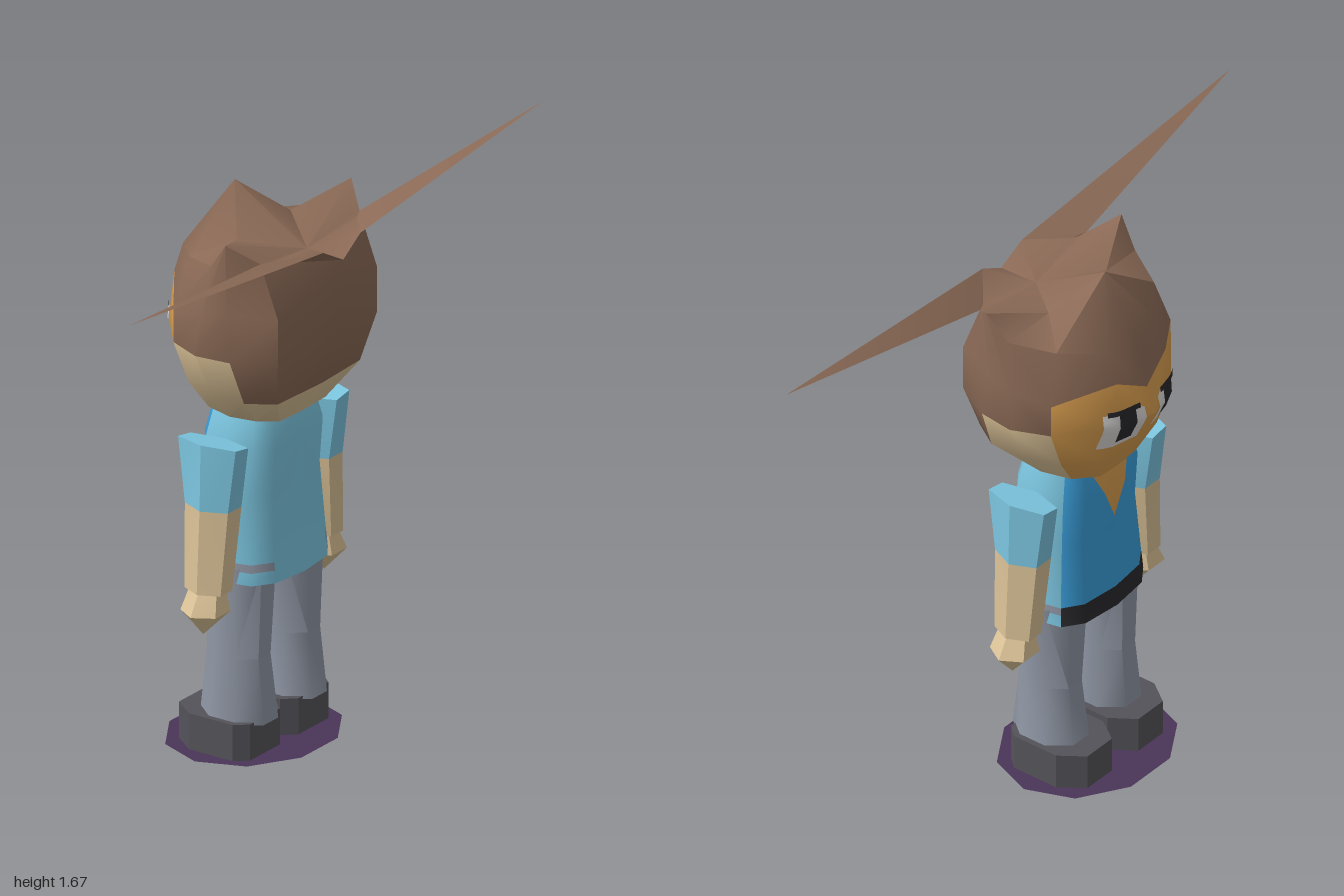
import * as THREE from 'three';
import { toCreasedNormals } from 'three/addons/utils/BufferGeometryUtils.js';

const material = (name, color, side = THREE.FrontSide) => {
  const m = new THREE.MeshStandardMaterial({ color, side });
  m.name = name;
  return m;
};

// Collects triangles by material, optionally mirrored across x = 0
class Surface {
  constructor(mirror = true) { this.mirror = mirror; this.faces = new Map(); }
  tri(mat, a, b, c) {
    if (!this.faces.has(mat)) this.faces.set(mat, []);
    const out = this.faces.get(mat);
    out.push(...a, ...b, ...c);
    if (this.mirror) for (const p of [c, b, a]) out.push(-p[0], p[1], p[2]);
  }
  // Rings run from the face side (-z) through +x to the back, stacked upward
  loft(rings, matAt, closed = false) {
    for (let i = 0; i + 1 < rings.length; i++) {
      const lo = rings[i], hi = rings[i + 1], n = lo.length;
      for (let j = 0; j < (closed ? n : n - 1); j++) {
        const k = (j + 1) % n, mat = matAt(i, j);
        this.tri(mat, lo[j], hi[j], hi[k]);
        this.tri(mat, lo[j], hi[k], lo[k]);
      }
    }
  }
  fan(mat, ring, centre, up, closed = false) {
    const n = ring.length;
    for (let j = 0; j < (closed ? n : n - 1); j++) {
      const a = ring[j], b = ring[(j + 1) % n];
      if (up) this.tri(mat, b, a, centre); else this.tri(mat, a, b, centre);
    }
  }
  mesh(name, crease) {
    const geo = new THREE.BufferGeometry(), pos = [], mats = [];
    for (const [mat, list] of this.faces) {
      geo.addGroup(pos.length / 3, list.length / 3, mats.length);
      mats.push(mat);
      for (const v of list) pos.push(v);
    }
    geo.setAttribute('position', new THREE.Float32BufferAttribute(pos, 3));
    const mesh = new THREE.Mesh(toCreasedNormals(geo, crease), mats.length > 1 ? mats : mats[0]);
    mesh.name = name;
    return mesh;
  }
}

// Closed elliptical ring with n sides, optionally sloping outward
const ring = (n, y, cx, rx, rz, slope = 0) => Array.from({ length: n }, (_, j) => {
  const a = (j + 0.5) * 2 * Math.PI / n;
  return [cx + rx * Math.sin(a), y + slope * Math.sin(a), -rz * Math.cos(a)];
});

export function createModel() {
  const hair = material('hair brown', 0x8b6a56, THREE.DoubleSide);
  const skin = material('pale skin', 0xdcc398);
  const face = material('face tan', 0xd89d4e);
  const shirt = material('light blue shirt', 0x7cc6e0);
  const vest = material('bright blue shirt front', 0x3a9fdb);
  const jeans = material('grey trousers', 0x9097a5);
  const shoe = material('shoe grey', 0x545359);
  const black = material('black', 0x29292c);
  const white = material('eye white', 0xdddbd8);
  const purple = material('ground purple', 0x4a3558, THREE.DoubleSide);
  const group = new THREE.Group();

  // Head: half rings from face centre to back centre
  const flat = (y, pts) => pts.map(([x, z]) => [x, y, z]);
  const rings = [
    flat(1.025, [[0, -0.15], [0.08, -0.145], [0.14, -0.09], [0.165, 0], [0.15, 0.08], [0.11, 0.135], [0, 0.14]]),
    flat(1.12, [[0, -0.205], [0.12, -0.19], [0.21, -0.11], [0.25, 0], [0.25, 0.11], [0.2, 0.19], [0, 0.2]]),
    flat(1.26, [[0, -0.28], [0.13, -0.235], [0.27, -0.12], [0.318, -0.01], [0.305, 0.1], [0.24, 0.22], [0, 0.265]]),
    [[0, 1.34, -0.25], [0.11, 1.4, -0.23], [0.27, 1.36, -0.12], [0.305, 1.38, 0], [0.3, 1.4, 0.085], [0.24, 1.4, 0.22], [0, 1.4, 0.27]],
    [[0, 1.47, -0.225], [0.11, 1.49, -0.2], [0.22, 1.51, -0.1], [0.285, 1.53, 0.02], [0.305, 1.615, 0.085], [0.24, 1.555, 0.16], [0, 1.515, 0.275]],
  ];
  const head = new Surface();
  head.loft(rings, (i, j) => {
    if (i === 3) return hair;
    if (j < 2) return face;
    return i === 0 || (i === 1 && j < 4) ? skin : hair;
  });
  head.fan(skin, rings[0], [0, 1.025, 0], false);

  // Hair crown: centre tuft, side tufts and long sideways spikes
  const [c0, c1, c2, c3, c4, c5, c6] = rings[4];
  const tuft = [0, 1.67, -0.1], dip = [0, 1.52, 0.15], mid = [0.13, 1.555, 0];
  const tip = [1, 1.65, 0.25], root = [0.09, 1.565, 0.27];
  for (const t of [
    [c1, c0, tuft], [c2, c1, tuft], [c2, tuft, mid], [c3, c2, mid], [c4, c3, mid],
    [c4, mid, dip], [mid, tuft, dip], [c5, c4, dip],
    [tip, c5, dip], [tip, dip, root], [root, dip, c6], [c5, tip, root], [c5, root, c6],
  ]) head.tri(hair, ...t);
  group.add(head.mesh('head', 0.75));

  // Eyes: thin patches that follow the face surface
  const along = (r, x) => {
    const j = x < r[1][0] ? 0 : 1, t = (x - r[j][0]) / (r[j + 1][0] - r[j][0]);
    return [1, 2].map(k => r[j][k] + t * (r[j + 1][k] - r[j][k]));
  };
  const facePoint = (x, y, lift) => {
    const i = y < 1.26 ? 1 : 2;
    const [ya, za] = along(rings[i], x), [yb, zb] = along(rings[i + 1], x);
    return [x, y, za + (zb - za) * (y - ya) / (yb - ya) - lift];
  };
  const patch = (name, mat, x0, x1, y0, y1, lift) => {
    const s = new Surface(), n = 6, rows = [];
    for (let i = 0; i <= n; i++) rows.push(Array.from({ length: n + 1 }, (_, j) =>
      facePoint(x0 + (x1 - x0) * j / n, y0 + (y1 - y0) * i / n, lift)));
    s.loft(rows, () => mat);
    group.add(s.mesh(name, 0.9));
  };
  patch('eyeWhites', white, 0.03, 0.155, 1.18, 1.305, 0.006);
  patch('pupils', black, 0.062, 0.115, 1.2, 1.315, 0.009);
  patch('eyelids', black, 0.045, 0.145, 1.3, 1.316, 0.0095);

  // Torso with belt, bright front and hip patches
  const half = (y, rx, rz) => Array.from({ length: 7 }, (_, j) => {
    const a = j * Math.PI / 6, c = Math.cos(a), s = Math.max(0, Math.sin(a));
    return [j % 6 ? rx * s ** 0.7 : 0, y, -rz * Math.sign(c) * Math.abs(c) ** 0.7];
  });
  const body = [
    half(0.535, 0.205, 0.145), half(0.572, 0.202, 0.141), half(0.596, 0.2, 0.138),
    half(0.8, 0.182, 0.123), half(0.94, 0.186, 0.134), half(1.028, 0.16, 0.115),
  ];
  const torso = new Surface();
  torso.loft(body, (i, j) => {
    if (j < 2) return i < 2 ? black : vest;
    return i === 1 && j < 5 ? jeans : shirt;
  });
  torso.fan(shirt, body[0], [0, 0.56, 0], false);
  torso.fan(shirt, body[5], [0, 1.028, 0], true);
  group.add(torso.mesh('torso', 0.9));

  // Open collar
  const collar = new Surface();
  const top = [0, 1.028, -0.122], corner = [0.085, 1.028, -0.113];
  const side = [0.045, 0.94, -0.136], centre = [0, 0.94, -0.141], point = [0, 0.84, -0.134];
  collar.tri(face, top, corner, side);
  collar.tri(face, top, side, centre);
  collar.tri(face, centre, side, point);
  group.add(collar.mesh('openCollar', 0.9));

  // Arms: six-sided sleeve, forearm and pointed hand
  const arms = new Surface();
  const sleeveTop = ring(6, 0.975, 0.245, 0.061, 0.115, 0.01);
  const arm = [ring(6, 0.535, 0.268, 0.057, 0.072), ring(6, 0.785, 0.245, 0.066, 0.086), sleeveTop];
  arms.loft(arm, i => (i ? shirt : skin), true);
  arms.fan(skin, arm[0], [0.268, 0.535, 0], false, true);
  arms.fan(shirt, sleeveTop, [0.245, 0.975, 0], true, true);
  group.add(arms.mesh('arms', 0.5));
  const hands = new Surface();
  const palm = [ring(6, 0.475, 0.282, 0.073, 0.07), ring(6, 0.536, 0.272, 0.047, 0.055)];
  hands.loft(palm, () => skin, true);
  hands.fan(skin, palm[0], [0.293, 0.405, 0], false, true);
  group.add(hands.mesh('hands', 0.5));

  // Legs
  const legs = new Surface();
  legs.loft([ring(8, 0.105, 0.118, 0.094, 0.118), ring(8, 0.3, 0.12, 0.076, 0.096),
    ring(8, 0.58, 0.115, 0.092, 0.108)], () => jeans, true);
  group.add(legs.mesh('legs', 0.9));

  // Shoes with chamfered toes
  const shoes = new Surface();
  const sole = [[0.06, -0.172], [0.17, -0.172], [0.222, -0.1], [0.222, 0.05],
    [0.19, 0.088], [0.045, 0.088], [0.01, 0.05], [0.01, -0.1]];
  const shoeRings = [flat(0, sole), flat(0.115, sole)];
  shoes.loft(shoeRings, () => shoe, true);
  shoes.fan(shoe, shoeRings[0], [0.115, 0, -0.04], false, true);
  shoes.fan(shoe, shoeRings[1], [0.115, 0.115, -0.04], true, true);
  group.add(shoes.mesh('shoes', 0.5));

  // Flat ground disc
  const disc = new THREE.Mesh(new THREE.CircleGeometry(1, 10).rotateX(-Math.PI / 2), purple);
  disc.scale.set(0.285, 1, 0.24);
  disc.position.set(0, 0.005, -0.035);
  disc.name = 'groundDisc';
  group.add(disc);

  return group;
}
